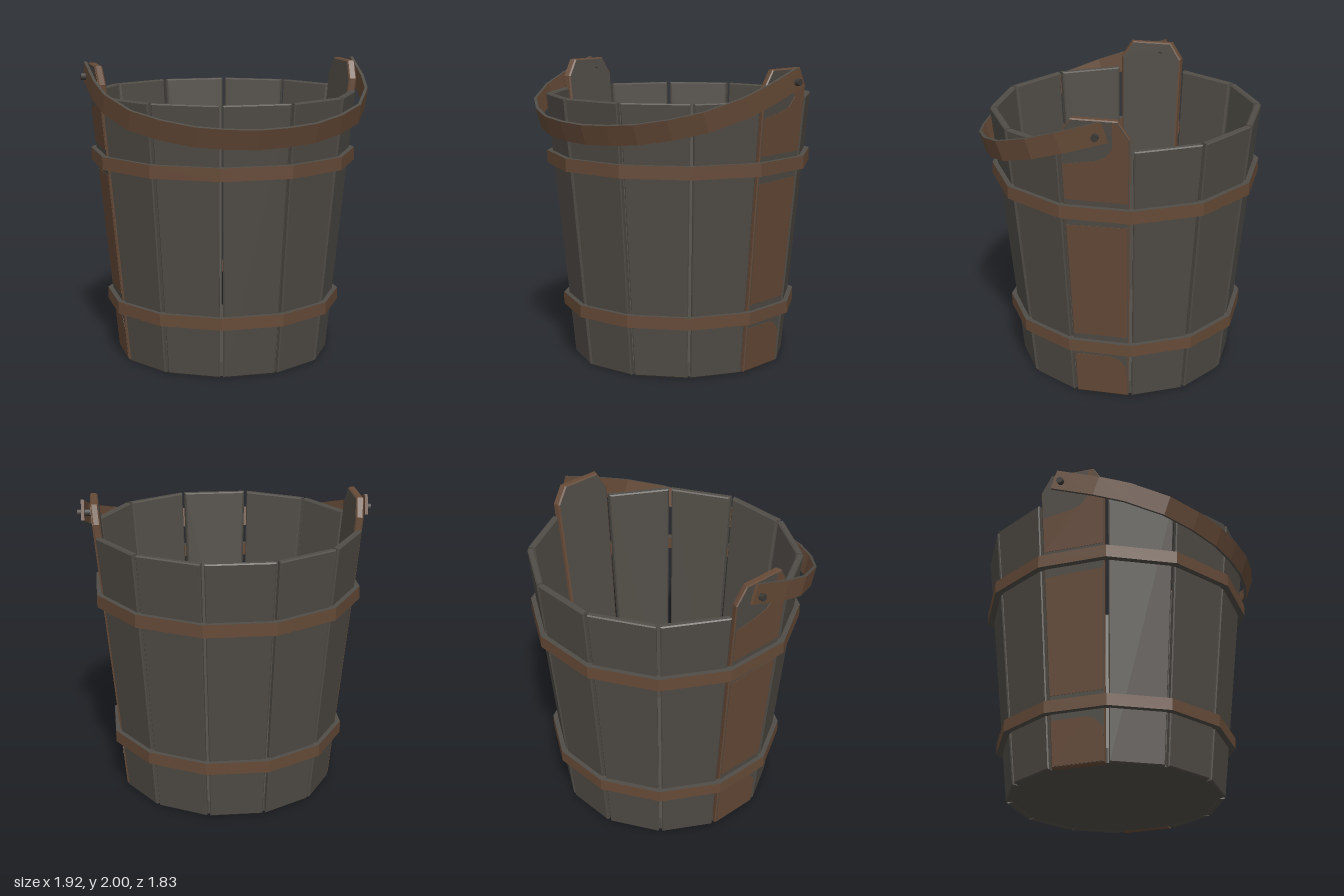
import * as THREE from 'three';

const SIDES = 12, TURN = THREE.MathUtils.degToRad(4.4), TAN = Math.tan(Math.PI / SIDES);
const apothem = (y) => 0.697 + 0.096 * y;          // the wall flares upward
const halfWidth = (y) => apothem(y) * TAN - 0.011; // leaves a gap between staves

const toShape = (pts) => new THREE.Shape(pts.map(([x, y]) => new THREE.Vector2(x, y)));

// Extruded board, narrowed toward the inside and sheared to follow the flare
function boardGeometry(pts, thick, bevel, lift = 0) {
  const g = new THREE.ExtrudeGeometry(toShape(pts), {
    depth: thick - 2 * bevel, bevelEnabled: bevel > 0, bevelSize: bevel,
    bevelThickness: bevel, bevelOffset: -bevel, bevelSegments: 1,
  });
  g.translate(0, 0, bevel - thick);
  const p = g.attributes.position;
  for (let i = 0; i < p.count; i++) {
    const x = p.getX(i), y = p.getY(i), z = p.getZ(i);
    p.setX(i, x + Math.sign(x) * z * TAN);
    p.setZ(i, z + apothem(y) + lift);
  }
  g.computeVertexNormals();
  return g;
}

// Flat twelve-sided ring or disc lying on y = 0
function ringGeometry(outer, inner, height) {
  const corners = (r) => Array.from({ length: SIDES }, (_, i) => {
    const a = TURN + (i + 0.5) * Math.PI * 2 / SIDES;
    return [r * Math.sin(a), -r * Math.cos(a)];
  });
  const s = toShape(corners(outer));
  if (inner) s.holes.push(toShape(corners(inner)));
  return new THREE.ExtrudeGeometry(s, { depth: height, bevelEnabled: false }).rotateX(-Math.PI / 2);
}

export function createModel() {
  const material = (name, color) => {
    const m = new THREE.MeshStandardMaterial({ color });
    m.name = name;
    return m;
  };
  const grey = material('weathered grey wood', 0x504c46);
  const brown = material('rusty brown', 0x654a37);
  const iron = material('dark iron', 0x3b3936);

  const model = new THREE.Group();
  model.name = 'bucket';
  const add = (parent, name, geometry, mat) => {
    const m = new THREE.Mesh(geometry, mat);
    m.name = name;
    parent.add(m);
    return m;
  };

  const barrel = new THREE.Group();
  barrel.name = 'barrel';
  barrel.position.set(-0.01, 0, -0.025);
  model.add(barrel);

  // Staves: two opposite ones rise higher to carry the handle
  const foot = halfWidth(0), rim = halfWidth(1.79), ear = halfWidth(1.87);
  const plain = boardGeometry([[-foot, 0], [foot, 0], [rim, 1.79], [-rim, 1.79]], 0.045, 0.008);
  const tall = boardGeometry(
    [[-foot, 0], [foot, 0], [ear, 1.87], [0.15, 1.985], [-0.15, 1.985], [-ear, 1.87]], 0.05, 0.008);

  // Brown stained areas on the outside of the tall staves
  const stains = [
    [[-0.166, 0.01], [0.166, 0.01], [0.168, 0.22], [0.12, 0.28], [0.06, 0.3], [-0.17, 0.3]],
    [[-0.175, 0.46], [0.175, 0.46], [0.195, 1.27], [-0.195, 1.26]],
    [[-0.2, 1.44], [0.2, 1.44], [0.212, 1.865], [0.14, 1.975], [0.11, 1.97],
      [0.11, 1.8], [0.06, 1.74], [0, 1.715], [-0.205, 1.68]],
  ].map((pts) => boardGeometry(pts, 0.006, 0, 0.003));

  for (let i = 0; i < SIDES; i++) {
    const stave = new THREE.Group();
    const isTall = i % 6 === 3;
    stave.name = isTall ? 'tallStave' : 'stave';
    stave.rotation.y = TURN + i * Math.PI * 2 / SIDES;
    add(stave, 'board', isTall ? tall : plain, isTall ? [grey, brown] : grey);
    if (isTall) stains.forEach((g) => add(stave, 'stain', g, brown));
    barrel.add(stave);
  }

  // Floor and the two hoops
  add(barrel, 'floor', ringGeometry(0.692, 0, 0.095), grey).position.y = 0.004;
  add(barrel, 'lowerHoop', ringGeometry(0.796, 0.746, 0.08), [grey, brown]).position.y = 0.34;
  add(barrel, 'upperHoop', ringGeometry(0.895, 0.845, 0.085), [grey, brown]).position.y = 1.32;

  // Handle: a bent strap swung forward and down from two rivets
  const handle = new THREE.Group();
  handle.name = 'handle';
  handle.position.set(0, 1.9, -0.03);
  handle.rotation.y = 0.055;
  model.add(handle);

  const tilt = 0.33, strapWidth = 0.135, strapThick = 0.02;
  const half = [[0.935, -0.09], [0.915, 0.2], [0.875, 0.4], [0.75, 0.63], [0.58, 0.77], [0.39, 0.87], [0.2, 0.915]];
  const outer = [...half, [0, 0.935], ...half.map(([x, z]) => [-x, z]).reverse()]
    .map(([x, z]) => new THREE.Vector2(x, z / Math.cos(tilt)));
  const inner = outer.map((p, i) => {
    const d = outer[Math.min(i + 1, outer.length - 1)].clone().sub(outer[Math.max(i - 1, 0)]).normalize();
    return new THREE.Vector2(p.x - d.y * strapThick, p.y + d.x * strapThick);
  });
  const strap = new THREE.ExtrudeGeometry(new THREE.Shape([...outer, ...inner.reverse()]),
    { depth: strapWidth, bevelEnabled: false });
  strap.translate(0, 0, -strapWidth / 2).rotateX(Math.PI / 2 + tilt);
  add(handle, 'strap', strap, [grey, brown]);

  const rivet = new THREE.CylinderGeometry(0.023, 0.023, 0.12, 8).rotateZ(Math.PI / 2);
  for (const side of [1, -1]) add(handle, 'rivet', rivet, iron).position.set(side * 0.902, 0, -0.05 + 0.01);

  return model;
}
